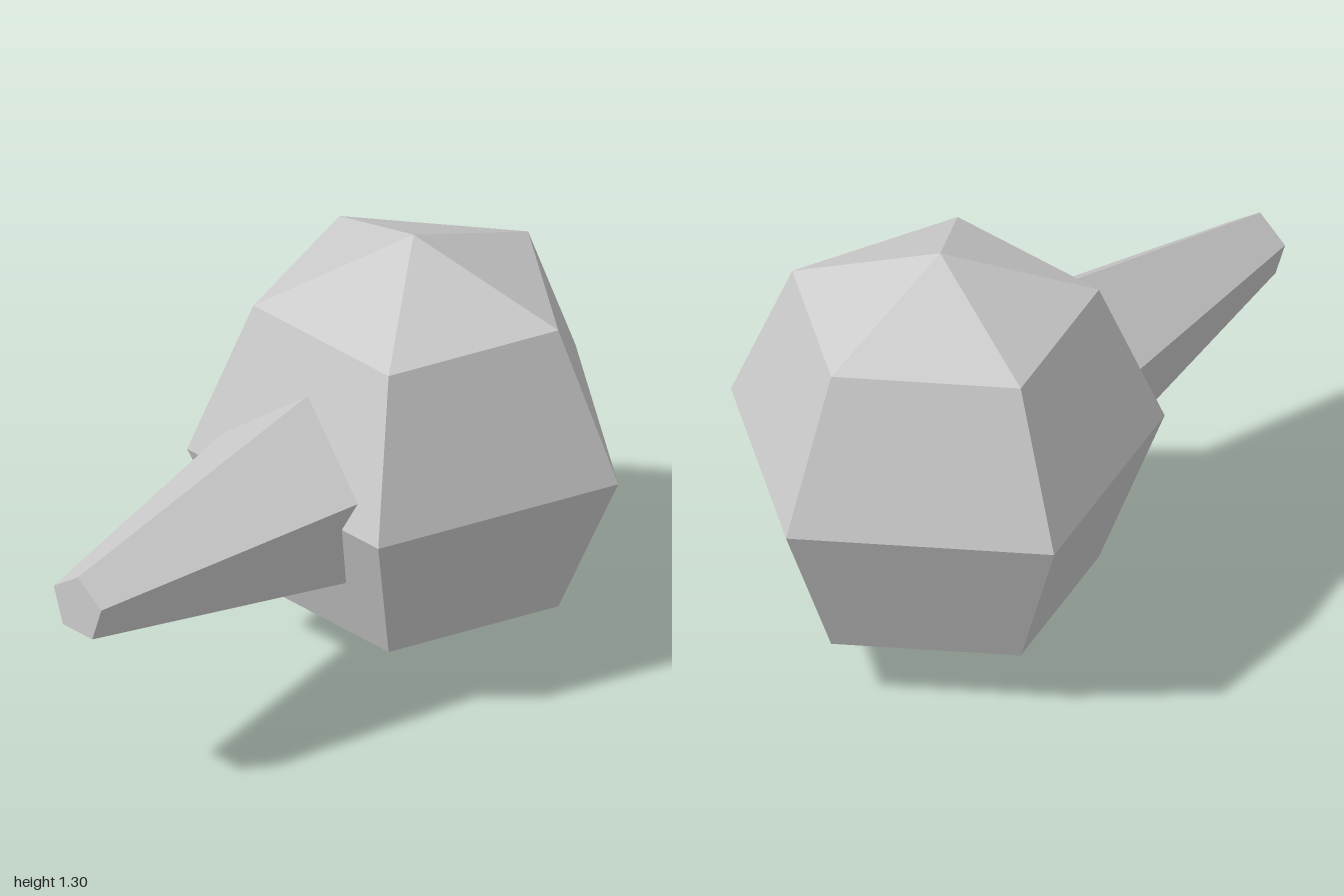
import * as THREE from 'three';

export function createModel() {
  const model = new THREE.Group();
  const grey = new THREE.MeshStandardMaterial({ color: 0xcccccc, flatShading: true });
  grey.name = 'light grey';

  // Five-sided faceted body with one corner pointing backwards
  const radius = 0.65;
  const body = new THREE.Mesh(new THREE.SphereGeometry(radius, 5, 4, -Math.PI / 2), grey);
  body.name = 'body';
  body.position.set(0, radius, -0.35);
  model.add(body);

  // Tapered five-sided snout, corner up, rooted inside the body
  const tipZ = 1, rootZ = 0;
  const snoutGeometry = new THREE.CylinderGeometry(0.1, 0.316, tipZ - rootZ, 5, 1, false, Math.PI);
  snoutGeometry.rotateX(Math.PI / 2);
  const snout = new THREE.Mesh(snoutGeometry, grey);
  snout.name = 'snout';
  snout.position.set(0, radius, (tipZ + rootZ) / 2);
  model.add(snout);

  return model;
}
